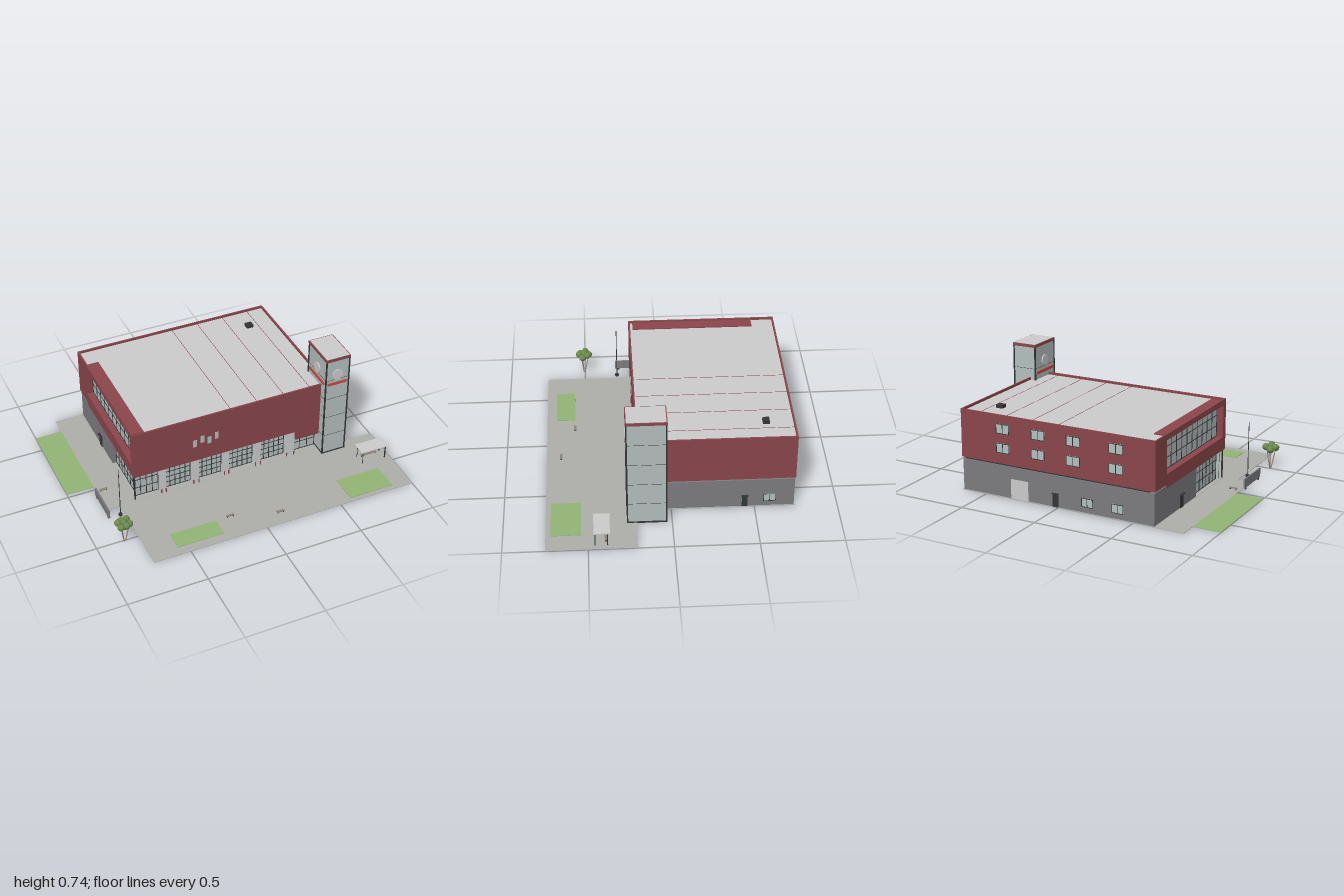
import * as THREE from 'three';

const mat = (color) => new THREE.MeshStandardMaterial({ color });
const M = {
  red: mat(0x8a464c), band: mat(0xc64a42), grey: mat(0xcccccc), base: mat(0x7c7c7f),
  glass: mat(0xb4bfbd), dark: mat(0x333637), ground: mat(0xaeaeab), grass: mat(0x92b475),
  leaf: mat(0x6d8a50), wood: mat(0x8d8375),
};

export function createModel() {
  const root = new THREE.Group();

  const group = (name, parent = root) => {
    const g = new THREE.Group();
    g.name = name;
    parent.add(g);
    return g;
  };
  const add = (parent, name, geo, m, x, y, z) => {
    const mesh = new THREE.Mesh(geo, m);
    mesh.name = name;
    mesh.position.set(x, y, z);
    parent.add(mesh);
    return mesh;
  };
  // box given by its limits
  const box = (parent, name, m, x0, x1, y0, y1, z0, z1) =>
    add(parent, name, new THREE.BoxGeometry(x1 - x0, y1 - y0, z1 - z0), m,
      (x0 + x1) / 2, (y0 + y1) / 2, (z0 + z1) / 2);
  // glazed panel facing +z with a grid of mullions, width w, from y0 to y1
  const glazing = (parent, name, w, y0, y1, cols, rows, x, z, turn = 0, t = 0.004) => {
    const g = group(name, parent);
    g.position.set(x, 0, z);
    g.rotation.y = turn;
    box(g, 'pane', M.glass, -w / 2, w / 2, y0, y1, -0.002, 0.002);
    for (let i = 0; i <= cols; i++) {
      const c = -w / 2 + t / 2 + (i * (w - t)) / cols;
      box(g, 'mullion', M.dark, c - t / 2, c + t / 2, y0, y1, 0, 0.005);
    }
    for (let j = 0; j <= rows; j++) {
      const c = y0 + t / 2 + (j * (y1 - y0 - t)) / rows;
      box(g, 'transom', M.dark, -w / 2, w / 2, c - t / 2, c + t / 2, 0, 0.0045);
    }
    return g;
  };
  const LEFT = -Math.PI / 2, RIGHT = Math.PI / 2, BACK = Math.PI;

  // paving and grass
  const site = group('site');
  box(site, 'frontPaving', M.ground, -0.735, 1, 0, 0.003, 0.21, 0.75);
  box(site, 'sidePaving', M.ground, -0.825, -0.64, 0, 0.003, -0.745, 0.21);
  box(site, 'buildingFloor', M.ground, -0.64, 0.665, 0, 0.004, -0.745, 0.21);
  box(site, 'sideLawn', M.grass, -1, -0.825, 0, 0.003, -0.63, -0.025);
  box(site, 'leftBed', M.grass, -0.56, -0.26, 0.003, 0.006, 0.57, 0.69);
  box(site, 'rightBed', M.grass, 0.58, 0.875, 0.003, 0.006, 0.54, 0.72);

  // ground floor
  const lower = group('groundFloor');
  box(lower, 'backBase', M.base, -0.635, 0.66, 0.004, 0.2, -0.738, -0.19);
  box(lower, 'frontBase', M.base, -0.6, 0.66, 0.004, 0.2, -0.19, 0.15);
  box(lower, 'shadowGap', M.dark, -0.6, 0.65, 0.2, 0.212, -0.73, 0.15);
  box(lower, 'cornerPost', M.dark, -0.636, -0.628, 0.004, 0.19, 0.185, 0.193);

  // shop front bays and their columns
  const front = group('shopFront');
  const columns = [[-0.465, -0.425], [-0.25, -0.205], [-0.04, 0], [0.175, 0.22], [0.395, 0.455]];
  columns.forEach(([a, b], i) => {
    box(front, 'column', M.grey, a, b, 0.004, 0.192, 0.15, 0.19);
    for (const x of [a + 0.005, b - 0.005])
      add(front, 'bollard', new THREE.CylinderGeometry(0.004, 0.004, 0.028, 8), M.red, x, 0.017, 0.2);
    if (i < 4) {
      const c = columns[i + 1][0], w = c - b;
      glazing(front, 'bayGlazing', w, 0.004, 0.165, 5, 4, (b + c) / 2, 0.157);
      box(front, 'bayHeader', M.dark, b, c, 0.165, 0.192, 0.15, 0.17);
    }
  });
  glazing(front, 'cornerGlazing', 0.16, 0.004, 0.19, 4, 3, -0.545, 0.157);
  glazing(front, 'towerSideGlazing', 0.16, 0.004, 0.125, 3, 2, 0.535, 0.157);

  // left entrance
  const entrance = group('leftEntrance');
  glazing(entrance, 'entranceGlazing', 0.34, 0.004, 0.19, 7, 3, -0.605, -0.02, LEFT);
  box(entrance, 'sideDoor', M.dark, -0.64, -0.63, 0.004, 0.08, -0.41, -0.37);
  box(entrance, 'doorHood', M.dark, -0.65, -0.635, 0.085, 0.09, -0.415, -0.365);

  // red upper storeys with a long recessed window on the left
  const upper = group('upperStoreys');
  box(upper, 'mainBlock', M.red, -0.59, 0.665, 0.212, 0.495, -0.742, 0.206);
  box(upper, 'leftBackPier', M.red, -0.642, -0.59, 0.212, 0.495, -0.742, -0.6);
  box(upper, 'leftFrontPier', M.red, -0.642, -0.59, 0.19, 0.495, 0.17, 0.206);
  box(upper, 'leftSill', M.red, -0.642, -0.59, 0.19, 0.275, -0.6, 0.17);
  box(upper, 'leftLintel', M.red, -0.642, -0.59, 0.48, 0.495, -0.6, 0.17);
  glazing(upper, 'longWindow', 0.77, 0.275, 0.48, 11, 3, -0.595, -0.215, LEFT);
  box(upper, 'frontFascia', M.red, -0.59, 0.62, 0.19, 0.212, 0.15, 0.206);
  box(upper, 'lowFascia', M.red, 0.458, 0.62, 0.125, 0.19, 0.15, 0.206);
  for (let i = 0; i < 4; i++) {
    const y = i % 2 ? 0.32 : 0.3;
    box(upper, 'smallFrontWindow', M.glass, -0.248 + i * 0.048, -0.223 + i * 0.048, y, y + 0.05, 0.2, 0.209);
  }

  // roof, parapet and roof fittings
  const roof = group('roof');
  box(roof, 'roofDeck', M.grey, -0.635, 0.66, 0.495, 0.5, -0.735, 0.2);
  box(roof, 'windowRoof', M.red, -0.635, -0.555, 0.5, 0.506, -0.595, 0.18);
  box(roof, 'backParapet', M.red, -0.642, 0.665, 0.495, 0.515, -0.742, -0.732);
  box(roof, 'frontParapet', M.red, -0.642, 0.665, 0.495, 0.515, 0.196, 0.206);
  box(roof, 'leftParapet', M.red, -0.642, -0.632, 0.495, 0.515, -0.732, 0.196);
  box(roof, 'rightParapet', M.red, 0.655, 0.665, 0.495, 0.515, -0.732, 0.196);
  for (const x of [0.01, 0.19, 0.37, 0.55])
    box(roof, 'roofSeam', M.red, x - 0.0015, x + 0.0015, 0.5, 0.501, -0.732, 0.196);
  box(roof, 'roofUnit', M.dark, 0.468, 0.512, 0.5, 0.521, -0.59, -0.55);

  // back wall openings
  const back = group('backOpenings');
  for (const x of [0.37, 0.127, -0.11, -0.39])
    for (const y of [0.28, 0.4]) glazing(back, 'backWindow', 0.09, y, y + 0.06, 2, 1, x, -0.743, BACK, 0.003);
  for (const x of [-0.2, -0.4]) glazing(back, 'lowBackWindow', 0.075, 0.04, 0.095, 2, 1, x, -0.74, BACK, 0.003);
  box(back, 'serviceDoor', M.grey, 0.2, 0.32, 0.004, 0.125, -0.742, -0.735);
  box(back, 'backDoor', M.dark, -0.005, 0.033, 0.004, 0.08, -0.742, -0.735);
  box(back, 'backHood', M.dark, -0.008, 0.036, 0.085, 0.09, -0.75, -0.735);

  // right wall openings
  const right = group('rightOpenings');
  box(right, 'rightDoor', M.dark, 0.655, 0.663, 0.004, 0.078, -0.458, -0.424);
  box(right, 'rightHood', M.dark, 0.655, 0.675, 0.083, 0.088, -0.462, -0.42);
  glazing(right, 'rightWindow', 0.075, 0.04, 0.095, 2, 1, 0.662, -0.59, RIGHT, 0.003);

  // glazed tower
  const tower = group('tower');
  box(tower, 'towerCore', M.glass, 0.62, 0.775, 0.004, 0.715, 0.034, 0.264);
  box(tower, 'towerPlinth', M.dark, 0.616, 0.779, 0, 0.01, 0.03, 0.268);
  for (const x of [0.619, 0.776])
    for (const z of [0.033, 0.265])
      box(tower, 'cornerFrame', M.dark, x - 0.004, x + 0.004, 0, 0.717, z - 0.004, z + 0.004);
  for (let i = 1; i < 5; i++) {
    const y = i * 0.143;
    box(tower, 'towerTransom', M.dark, 0.619, 0.776, y, y + 0.002, 0.033, 0.265);
  }
  box(tower, 'towerCap', M.red, 0.614, 0.781, 0.715, 0.733, 0.028, 0.27);
  box(tower, 'towerRoof', M.grey, 0.62, 0.775, 0.73, 0.735, 0.034, 0.264);
  box(tower, 'frontBand', M.band, 0.632, 0.762, 0.535, 0.553, 0.26, 0.27);
  box(tower, 'sideBand', M.band, 0.613, 0.63, 0.535, 0.553, 0.05, 0.245);
  const disc = new THREE.CylinderGeometry(0.036, 0.036, 0.008, 32);
  add(tower, 'frontDisc', disc, M.grey, 0.697, 0.61, 0.267).rotation.x = Math.PI / 2;
  add(tower, 'sideDisc', disc, M.grey, 0.617, 0.61, 0.15).rotation.z = Math.PI / 2;

  // bench made of a seat and two legs
  const bench = (parent, x, z, w) => {
    const g = group('bench', parent);
    box(g, 'seat', M.wood, x - w / 2, x + w / 2, 0.012, 0.016, z - 0.008, z + 0.008);
    for (const s of [-1, 1]) {
      const c = x + s * (w / 2 - 0.006);
      box(g, 'leg', M.dark, c - 0.002, c + 0.002, 0.003, 0.012, z - 0.006, z + 0.006);
    }
  };
  const yard = group('yard');
  bench(yard, -0.78, 0.03, 0.05);
  bench(yard, -0.165, 0.57, 0.05);
  bench(yard, 0.13, 0.66, 0.05);

  // open shelter
  const shelter = group('shelter');
  box(shelter, 'shelterRoof', M.grey, 0.795, 0.975, 0.091, 0.097, 0.372, 0.467);
  for (const z of [0.387, 0.46]) {
    box(shelter, 'post', M.dark, 0.963, 0.969, 0.003, 0.091, z - 0.003, z + 0.003);
    box(shelter, 'thinPost', M.dark, 0.805, 0.808, 0.003, 0.091, z - 0.0015, z + 0.0015);
  }
  bench(shelter, 0.885, 0.395, 0.11);

  // low sign wall and flagpole
  box(yard, 'signWall', M.base, -0.845, -0.835, 0.012, 0.07, 0.06, 0.295);
  for (const z of [0.08, 0.275]) box(yard, 'signFoot', M.dark, -0.844, -0.836, 0, 0.012, z - 0.008, z + 0.008);
  add(yard, 'flagpole', new THREE.CylinderGeometry(0.002, 0.003, 0.357, 8), M.dark, -0.765, 0.18, 0.285);
  add(yard, 'flagpoleFoot', new THREE.CylinderGeometry(0.012, 0.012, 0.014, 16), M.dark, -0.765, 0.008, 0.285);

  // tree with splayed stems and round clumps of leaves
  const tree = group('tree');
  tree.position.set(-0.825, 0, 0.505);
  const clump = new THREE.SphereGeometry(0.022, 12, 8);
  for (let i = 0; i < 6; i++) {
    const a = (i * Math.PI) / 3 + 0.3;
    const p = new THREE.Vector3(Math.cos(a) * 0.034, 0.135 + (i % 2) * 0.012, Math.sin(a) * 0.034);
    add(tree, 'leafClump', clump, M.leaf, p.x, p.y, p.z);
    if (i % 2) continue;
    const foot = new THREE.Vector3(p.x * 0.15, 0, p.z * 0.15);
    const stem = new THREE.TubeGeometry(new THREE.LineCurve3(foot, p), 1, 0.003, 6);
    add(tree, 'stem', stem, M.wood, 0, 0, 0);
  }
  add(tree, 'leafClump', clump, M.leaf, 0, 0.15, 0);
  add(tree, 'leafClump', clump, M.leaf, 0.005, 0.118, 0.005);

  return root;
}
